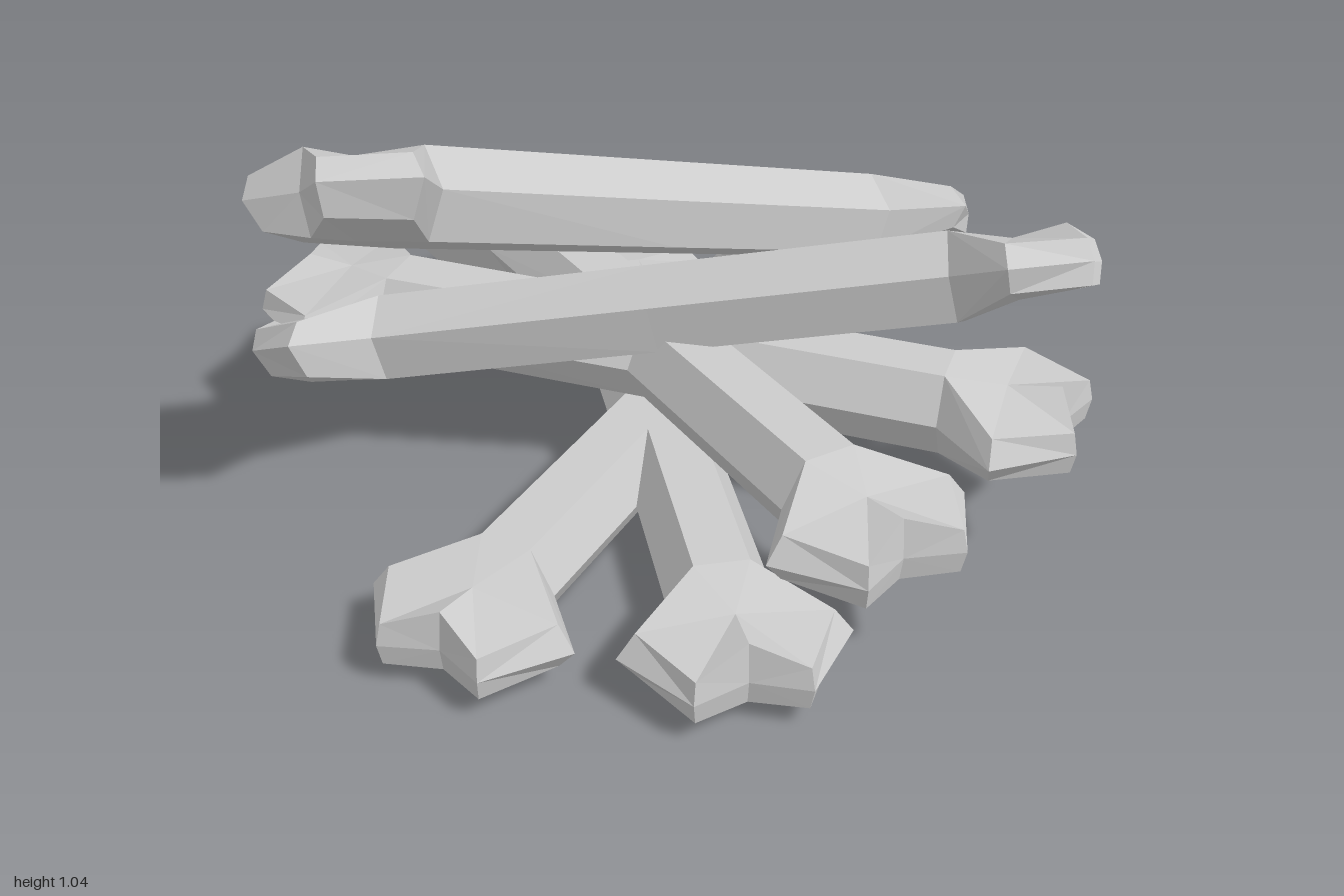
import * as THREE from 'three';

const NECK = 0.68, H = 0.1;

// Outlines of each knob from neck to notch, as [x from neck, y, z]
const SMALL = {
  neck: 0.115,
  top: [[0, H, 0.06], [0.135, 0.055, 0.205], [0.295, 0.05, 0.115], [0.248, 0.09, 0]],
  middle: [[0, 0, 0.115], [0.14, 0, 0.245], [0.305, 0, 0.12], [0.257, 0, 0]],
  bottom: [[0, -H, 0.06], [0.135, -0.05, 0.205], [0.295, -0.05, 0.115], [0.248, -0.055, 0]],
  centreTop: 0.07, centreBottom: -0.065,
};
const BIG = {
  neck: 0.125,
  top: [[0, H, 0.065], [0.135, 0.055, 0.225], [0.295, 0.05, 0.135], [0.245, 0.092, 0]],
  middle: [[0, 0, 0.125], [0.14, 0, 0.268], [0.305, 0, 0.145], [0.257, 0, 0]],
  bottom: [[0, -H, 0.065], [0.13, -0.075, 0.21], [0.275, -0.065, 0.12], [0.235, -0.09, 0]],
  centreTop: 0.08, centreBottom: -0.095,
};

// A bone along x with the small knob at +x and the big knob at -x
function boneGeometry() {
  const positions = [];
  const tri = (sx, sy, ...corners) => {
    for (const sz of [1, -1]) {
      const order = sx * sy * sz > 0 ? corners : [corners[0], corners[2], corners[1]];
      for (const [x, y, z] of order) positions.push(x * sx, y, z * sz);
    }
  };

  for (const [sx, end] of [[1, SMALL], [-1, BIG]]) {
    const place = ([x, y, z]) => [NECK + x, y, z];
    const mid = end.middle.map(place);
    for (const sy of [1, -1]) {
      const quad = (a, b, c, d) => { tri(sx, sy, a, b, c); tri(sx, sy, a, c, d); };
      const rim = (sy > 0 ? end.top : end.bottom).map(place);
      const centre = place([0.13, sy > 0 ? end.centreTop : end.centreBottom, 0]);

      // Half of the six-sided shaft
      quad([0, H * sy, 0], [0, H * sy, 0.06], rim[0], [NECK, H * sy, 0]);
      quad([0, H * sy, 0.06], [0, 0, 0.115], [NECK, 0, end.neck], rim[0]);

      // Knob face and its bevelled side
      tri(sx, sy, centre, [NECK, H * sy, 0], rim[0]);
      for (let i = 0; i < 3; i++) {
        tri(sx, sy, centre, rim[i], rim[i + 1]);
        quad(rim[i], mid[i], mid[i + 1], rim[i + 1]);
      }
    }
  }
  const geometry = new THREE.BufferGeometry();
  geometry.setAttribute('position', new THREE.Float32BufferAttribute(positions, 3));
  geometry.computeVertexNormals();
  return geometry;
}

export function createModel() {
  const model = new THREE.Group();
  model.name = 'bonePile';
  const geometry = boneGeometry();
  const material = new THREE.MeshStandardMaterial({ color: 0xcccccc, flatShading: true });

  // Centre, ground-plan direction (x, z), pitch and roll in degrees
  const bones = [
    { name: 'groundBoneA', at: [-0.01, 0.1, 0], dir: [0.145, 0.989] },
    { name: 'groundBoneB', at: [0, 0.1, 0], dir: [0.73, 0.69] },
    { name: 'middleBoneA', at: [0, 0.315, 0], dir: [0.916, 0.4] },
    { name: 'middleBoneB', at: [0, 0.315, 0], dir: [0.96, -0.28] },
    { name: 'leaningBone', at: [0.02, 0.445, 0.025], dir: [0.918, -0.397], pitch: 13.5, roll: -27 },
    { name: 'topBone', at: [-0.07, 0.635, -0.08], dir: [0.283, -0.959], pitch: -18.3, roll: -27 },
  ];
  for (const { name, at, dir, pitch = 0, roll = 0 } of bones) {
    const bone = new THREE.Mesh(geometry, material);
    bone.name = name;
    bone.position.set(...at);
    bone.rotation.set(
      THREE.MathUtils.degToRad(roll),
      Math.atan2(-dir[1], dir[0]),
      THREE.MathUtils.degToRad(pitch),
      'YZX'
    );
    model.add(bone);
  }
  return model;
}
